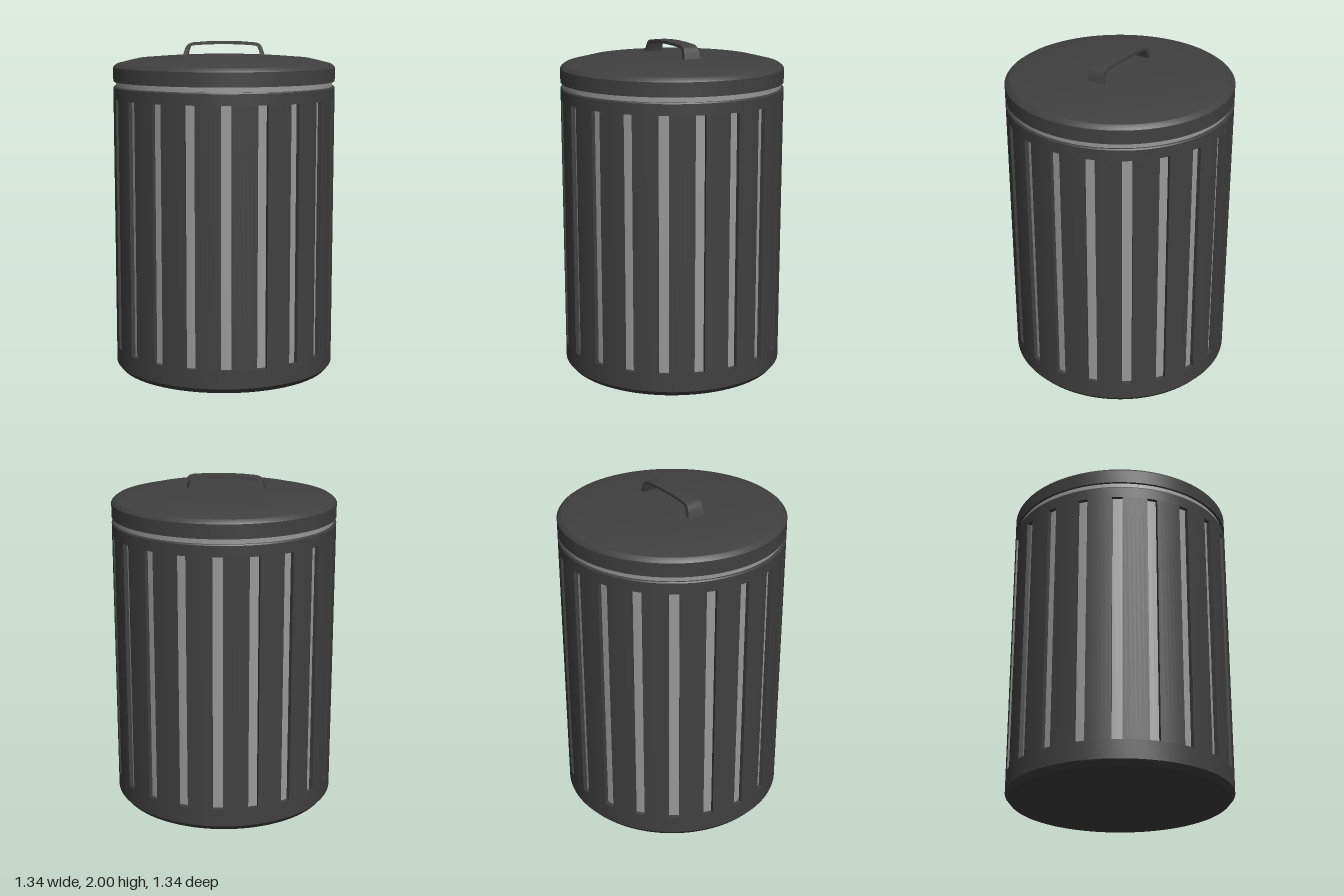
import * as THREE from 'three';
import { toCreasedNormals, mergeGeometries } from 'three/addons/utils/BufferGeometryUtils.js';

const dark = new THREE.MeshStandardMaterial({ color: 0x404040 });
const darkThin = new THREE.MeshStandardMaterial({ color: 0x404040, side: THREE.DoubleSide });
const grey = new THREE.MeshStandardMaterial({ color: 0x999999 });

const R = 0.67, R_LINER = 0.645;
const SLOTS = 20, SLOT_LOW = 0.14, SLOT_HIGH = 1.66;
const STEP = (Math.PI * 2) / SLOTS;
const SLOT_ANGLE = THREE.MathUtils.degToRad(5.2);
const OFFSET = THREE.MathUtils.degToRad(2.8);

// Lathe from [radius, height] pairs, with crisp edges where the profile bends
function lathe(profile, segments = 120, start = 0, length = Math.PI * 2) {
  const points = profile.map(([r, y]) => new THREE.Vector2(r, y));
  return toCreasedNormals(new THREE.LatheGeometry(points, segments, start, length), 0.35);
}

function add(group, name, geometry, material) {
  const mesh = new THREE.Mesh(geometry, material);
  mesh.name = name;
  group.add(mesh);
  return mesh;
}

// Radial wall closing one side of a slat
function slotWall(angle) {
  return new THREE.PlaneGeometry(R - R_LINER, SLOT_HIGH - SLOT_LOW)
    .translate((R + R_LINER) / 2, (SLOT_LOW + SLOT_HIGH) / 2, 0)
    .rotateY(angle - Math.PI / 2);
}

function createBody() {
  const body = new THREE.Group();
  body.name = 'body';

  // Solid bands below and above the slots
  add(body, 'baseBand', lathe([[0, 0], [0.645, 0], [R, 0.03], [R, SLOT_LOW], [R_LINER, SLOT_LOW]]), dark);
  add(body, 'topBand', lathe([[R_LINER, SLOT_HIGH], [R, SLOT_HIGH], [R, 1.725], [0.665, 1.732], [R_LINER, 1.732]]), dark);

  // Slats between the slots, with their side walls
  const faces = [], walls = [];
  for (let i = 0; i < SLOTS; i++) {
    const start = OFFSET + i * STEP + SLOT_ANGLE / 2;
    const length = STEP - SLOT_ANGLE;
    faces.push(lathe([[R, SLOT_LOW], [R, SLOT_HIGH]], 6, start, length));
    walls.push(slotWall(start), slotWall(start + length));
  }
  add(body, 'slats', mergeGeometries(faces), dark);
  add(body, 'slotWalls', mergeGeometries(walls), darkThin);

  // Inner bin seen through the slots, with a collar under the lid
  add(body, 'liner', lathe([[R_LINER, 0.06], [R_LINER, 1.7], [0.655, 1.71], [0.655, 1.78]]), grey);
  return body;
}

function createLid() {
  const lid = new THREE.Group();
  lid.name = 'lid';
  add(lid, 'cover', lathe([
    [0, 1.762], [R, 1.762], [R, 1.845], [0.663, 1.855], [0.645, 1.868],
    [0.52, 1.898], [0.38, 1.909], [0.25, 1.916], [0.12, 1.92], [0, 1.921],
  ]), dark);

  // Arched strap handle, symmetric about x = 0
  const outer = [[0.25, 1.905], [0.237, 1.945], [0.227, 1.97], [0.213, 1.984], [0.19, 1.991], [0.1, 1.998]];
  const inner = [[0.1, 1.981], [0.185, 1.975], [0.202, 1.967], [0.211, 1.945], [0.22, 1.905]];
  const mirror = (list) => list.map(([x, y]) => [-x, y]).reverse();
  const outline = [...outer, [0, 2], ...mirror(outer), ...mirror(inner), [0, 1.983], ...inner];
  const shape = new THREE.Shape(outline.map(([x, y]) => new THREE.Vector2(x, y)));
  const strap = new THREE.ExtrudeGeometry(shape, { depth: 0.094, bevelEnabled: false });
  strap.translate(0, 0, -0.047);

  // Feet flare slightly towards the lid
  const p = strap.attributes.position;
  for (let i = 0; i < p.count; i++) {
    const flare = Math.max(0, (1.985 - p.getY(i)) / 0.08);
    if (Math.abs(p.getX(i)) > 0.2) p.setZ(i, p.getZ(i) * (1 + 0.17 * flare));
  }
  add(lid, 'handle', toCreasedNormals(strap, 0.6), dark);
  return lid;
}

export function createModel() {
  const model = new THREE.Group();
  model.name = 'trashCan';
  model.add(createBody(), createLid());
  return model;
}
